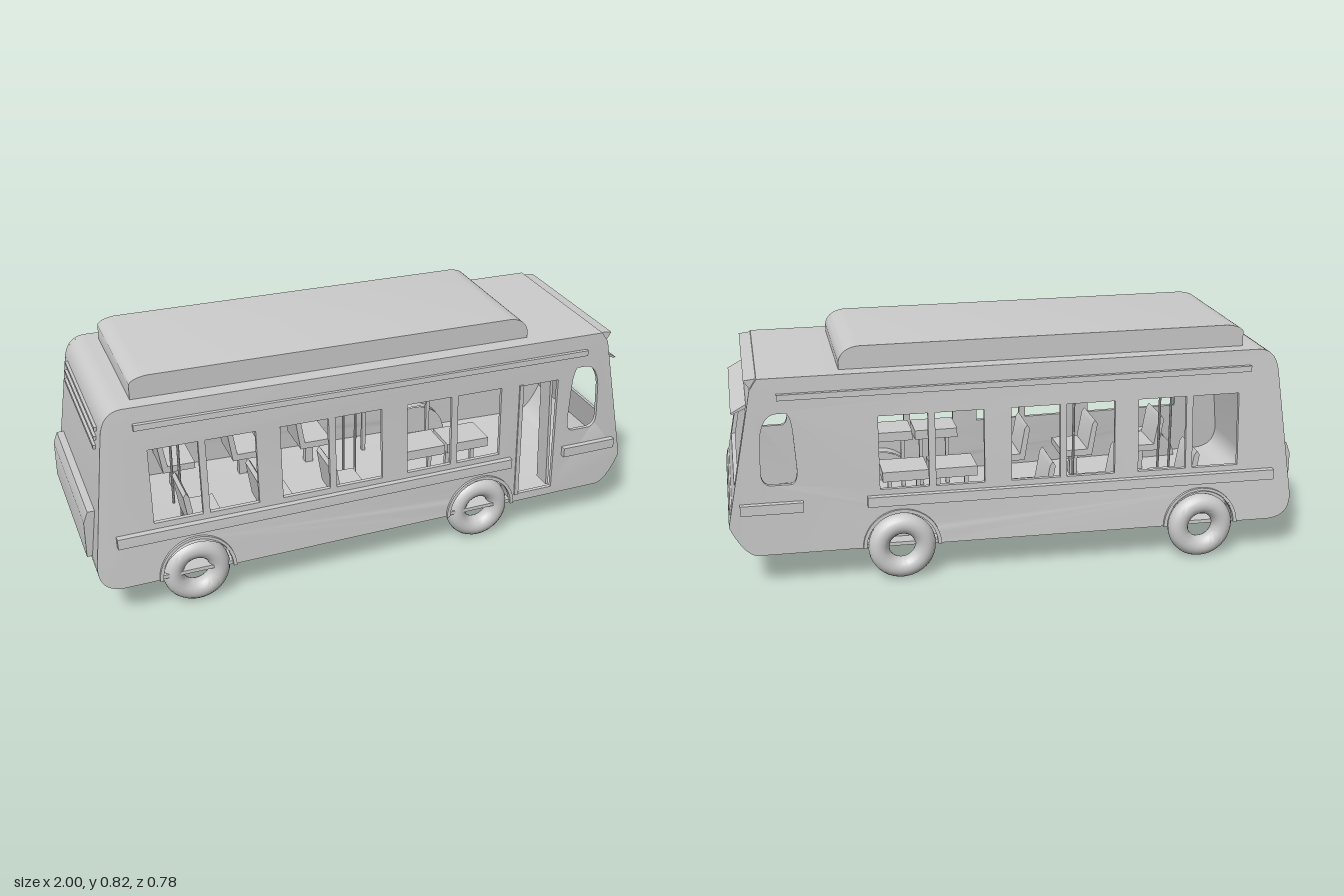
import * as THREE from 'three';
import { toCreasedNormals } from 'three/addons/utils/BufferGeometryUtils.js';

const mat = new THREE.MeshStandardMaterial({ color: 0xcccccc, side: THREE.DoubleSide });
const AXLES = [-0.645, 0.42];
const Z_LEFT = 0.32, Z_RIGHT = -0.305; // outer faces of the body at roof height
const frontX = (y) => 1 - 0.2 * (y - 0.23);

// Flares the body outwards towards the lower rear.
function flare(geo) {
  const p = geo.attributes.position;
  for (let i = 0; i < p.count; i++) {
    const a = ((1 - p.getX(i)) / 2) * ((0.74 - p.getY(i)) / 0.62);
    const z = p.getZ(i);
    p.setZ(i, z * (1 + (z > 0 ? 0.235 : 0.19) * a));
  }
  return geo;
}

export function createModel() {
  const bus = new THREE.Group();
  bus.name = 'bus';

  function add(name, geo, parent = bus) {
    const mesh = new THREE.Mesh(toCreasedNormals(geo, 0.6), mat);
    mesh.name = name;
    parent.add(mesh);
    return mesh;
  }
  // Box given by its limits
  function box(x0, x1, y0, y1, z0, z1) {
    return new THREE.BoxGeometry(x1 - x0, y1 - y0, z1 - z0)
      .translate((x0 + x1) / 2, (y0 + y1) / 2, (z0 + z1) / 2);
  }
  // Side profile extruded between two z positions
  function slab(shape, z0, z1) {
    return new THREE.ExtrudeGeometry(shape, { depth: z1 - z0, bevelEnabled: false, curveSegments: 10 })
      .translate(0, 0, z0);
  }
  const poly = (pts) => new THREE.Shape(pts.map(([x, y]) => new THREE.Vector2(x, y)));

  // Upper and rear outline, running from the windscreen over the roof to the rear underside
  function roofAndRear(s) {
    s.lineTo(0.905, 0.705);
    s.lineTo(0.88, 0.742);
    s.lineTo(-0.85, 0.742);
    s.quadraticCurveTo(-0.915, 0.74, -0.925, 0.66);
    s.lineTo(-0.982, 0.21);
    s.quadraticCurveTo(-0.985, 0.125, -0.9, 0.12);
  }
  function nose(s, top) {
    s.lineTo(0.91, 0.12);
    s.quadraticCurveTo(0.955, 0.125, 1, 0.23);
    s.lineTo(frontX(top), top);
  }

  // Shell: roof, rear, floor and lower front as one bent sheet
  const path = new THREE.Path();
  path.moveTo(frontX(0.62), 0.62);
  roofAndRear(path);
  nose(path, 0.36);
  const outer = path.getPoints(8);
  const inner = outer.map((p) => new THREE.Vector2(p.x * 0.985, 0.43 + (p.y - 0.43) * 0.96)).reverse();
  add('bodyShell', flare(slab(new THREE.Shape([...outer, ...inner]), Z_RIGHT + 0.002, Z_LEFT - 0.002)));

  // Windscreen pillars
  const pillar = poly([[frontX(0.35), 0.35], [frontX(0.63), 0.63], [frontX(0.63) - 0.015, 0.63], [frontX(0.35) - 0.015, 0.35]]);
  add('windscreenPillarLeft', flare(slab(pillar, 0.278, Z_LEFT - 0.002)));
  add('windscreenPillarRight', flare(slab(pillar, Z_RIGHT + 0.002, -0.262)));

  // Side walls with wheel arches, windows and, on the left, a doorway
  function sideWall(withDoor) {
    const s = new THREE.Shape();
    s.moveTo(frontX(0.62), 0.62);
    roofAndRear(s);
    for (const x of AXLES) {
      s.lineTo(x - 0.125, 0.12);
      s.absarc(x, 0.12, 0.125, Math.PI, 0, true);
    }
    nose(s, 0.62);
    const rect = (x0, x1, y0, y1) =>
      s.holes.push(poly([[x0, y0], [x1, y0], [x1, y1], [x0, y1]]));
    for (const [x0, post, x1] of [[-0.78, -0.6, -0.415], [-0.33, -0.147, 0.035], [0.13, 0.31, 0.49]]) {
      rect(x0, post - 0.012, 0.33, 0.59);
      rect(post + 0.012, x1, 0.33, 0.59);
    }
    if (withDoor) rect(0.575, 0.715, 0.15, 0.585);
    // Rounded window beside the driver
    const w = new THREE.Path();
    w.moveTo(0.785, 0.37);
    w.lineTo(0.855, 0.37);
    w.quadraticCurveTo(0.885, 0.375, 0.885, 0.42);
    w.lineTo(0.88, 0.54);
    w.quadraticCurveTo(0.87, 0.62, 0.82, 0.62);
    w.lineTo(0.79, 0.62);
    w.quadraticCurveTo(0.775, 0.6, 0.772, 0.54);
    w.lineTo(0.765, 0.42);
    w.quadraticCurveTo(0.765, 0.375, 0.785, 0.37);
    s.holes.push(w);
    return s;
  }
  add('leftWall', flare(slab(sideWall(true), Z_LEFT - 0.014, Z_LEFT)));
  add('rightWall', flare(slab(sideWall(false), Z_RIGHT, Z_RIGHT + 0.014)));

  // Door frame and a leaf folded into the doorway
  add('doorFrame', flare(box(0.56, 0.575, 0.15, 0.59, Z_LEFT - 0.01, Z_LEFT + 0.006)));
  add('doorLeaf', slab(poly([[0.705, 0.15], [0.715, 0.15], [0.7, 0.585], [0.69, 0.585]]), 0.24, 0.31));

  for (const side of [1, -1]) {
    const label = side > 0 ? 'Left' : 'Right';
    const face = side > 0 ? Z_LEFT : Z_RIGHT;
    const strip = (name, x0, x1, y0, y1, t) => {
      const e = face + side * t;
      add(name + label, flare(box(x0, x1, y0, y1, Math.min(face, e), Math.max(face, e))));
    };
    // Trim strips
    strip('rearTrim', -0.91, 0.535, 0.275, 0.31, 0.02);
    strip('frontTrim', 0.75, 0.96, 0.275, 0.31, 0.02);
    strip('roofTrim', -0.82, 0.82, 0.668, 0.688, 0.014);

    AXLES.forEach((x, i) => {
      const z = side * (i === 0 ? 0.351 : 0.31);
      const end = i === 0 ? 'rear' : 'front';
      // Tyre
      add(end + 'Wheel' + label, new THREE.TorusGeometry(0.081, 0.036, 20, 40).translate(x, 0.117, z));
      // Arch lip
      const lip = new THREE.Shape();
      lip.absarc(x, 0.12, 0.135, 0, Math.PI, false);
      lip.absarc(x, 0.12, 0.123, Math.PI, 0, true);
      const a = face - side * 0.01, b = face + side * 0.008;
      add(end + 'Arch' + label, flare(slab(lip, Math.min(a, b), Math.max(a, b))));
      // Wheel well: half drum closed on the inside
      const well = new THREE.Group();
      well.name = end + 'WheelWell' + label;
      bus.add(well);
      const zin = side * 0.255, len = Math.abs(face) - 0.255;
      add('wellArch', flare(new THREE.CylinderGeometry(0.126, 0.126, len, 20, 1, true, -Math.PI / 2, Math.PI)
        .rotateX(-Math.PI / 2).scale(1, -1, 1).translate(x, 0.12, (zin + face) / 2)), well)
        .geometry.computeBoundingBox();
      add('wellBack', flare(new THREE.CircleGeometry(0.126, 20, 0, Math.PI).translate(x, 0.12, zin)), well);
      if (well.children[0].geometry.boundingBox.max.y < 0.2) { // keep the drum on the upper half
        well.children[0].geometry.scale(1, -1, 1).translate(0, 0.24, 0);
      }
    });
  }

  // Roof unit
  const roof = new THREE.Shape();
  roof.moveTo(-0.81, 0.735);
  roof.lineTo(0.61, 0.735);
  roof.lineTo(0.61, 0.768);
  roof.quadraticCurveTo(0.6, 0.815, 0.54, 0.82);
  roof.lineTo(-0.75, 0.82);
  roof.quadraticCurveTo(-0.8, 0.815, -0.81, 0.795);
  add('roofUnit', slab(roof, -0.25, 0.262));

  // Front visor, windscreen flap and front strip
  add('roofVisor', slab(poly([[0.86, 0.742], [0.922, 0.735], [0.9, 0.7]]), -0.29, 0.31));
  add('windscreenFlap', slab(poly([[0.918, 0.645], [0.97, 0.616], [0.965, 0.612], [0.918, 0.632]]), -0.26, 0.278));
  add('frontStrip', slab(poly([[0.98, 0.268], [0.998, 0.268], [0.992, 0.3], [0.974, 0.3]]), -0.285, 0.285));

  // Rear engine cover and louvres
  add('engineCover', slab(poly([[-0.97, 0.21], [-1, 0.21], [-1, 0.34], [-0.985, 0.38], [-0.95, 0.38]]), -0.29, 0.3));
  for (let i = 0; i < 3; i++) {
    const y = 0.59 + i * 0.032, x = -0.925 - (0.66 - y) * 0.127;
    add('rearLouvre', box(x - 0.008, x + 0.01, y, y + 0.014, -0.26, 0.27));
  }

  // Interior: rows of forward-facing seats
  const cabin = new THREE.Group();
  cabin.name = 'cabin';
  bus.add(cabin);
  for (const x of [-0.64, -0.375, -0.11]) {
    for (const z of [-0.2, 0.2]) {
      add('seatCushion', box(x, x + 0.12, 0.23, 0.255, z - 0.08, z + 0.08), cabin);
      add('seatBack', slab(poly([[x, 0.23], [x + 0.022, 0.23], [x, 0.355], [x - 0.01, 0.37], [x - 0.02, 0.355]]), z - 0.08, z + 0.08), cabin);
      add('seatLeg', box(x + 0.04, x + 0.07, 0.13, 0.23, z - 0.015, z + 0.015), cabin);
    }
  }
  // Raised seats at the front with slender legs
  for (const x of [0.145, 0.315]) {
    for (const z of [-0.205, 0.2]) {
      add('benchCushion', box(x, x + 0.16, 0.335, 0.37, z - 0.06, z + 0.07), cabin);
      for (const dx of [0.03, 0.13]) add('benchLeg', box(x + dx - 0.007, x + dx + 0.007, 0.13, 0.34, z - 0.007, z + 0.007), cabin);
    }
  }
  // Grab poles and overhead rails
  for (const [x, z] of [[-0.62, 0.06], [-0.62, -0.065], [-0.25, 0.06], [-0.25, -0.065], [0.04, 0.06], [0.04, -0.065]]) {
    add('grabPole', new THREE.CylinderGeometry(0.005, 0.005, 0.6, 8).translate(x, 0.43, z), cabin);
  }
  for (const z of [0.06, -0.065]) {
    add('grabRail', new THREE.CylinderGeometry(0.005, 0.005, 0.66, 8).rotateZ(Math.PI / 2).translate(-0.29, 0.515, z), cabin);
  }
  return bus;
}
